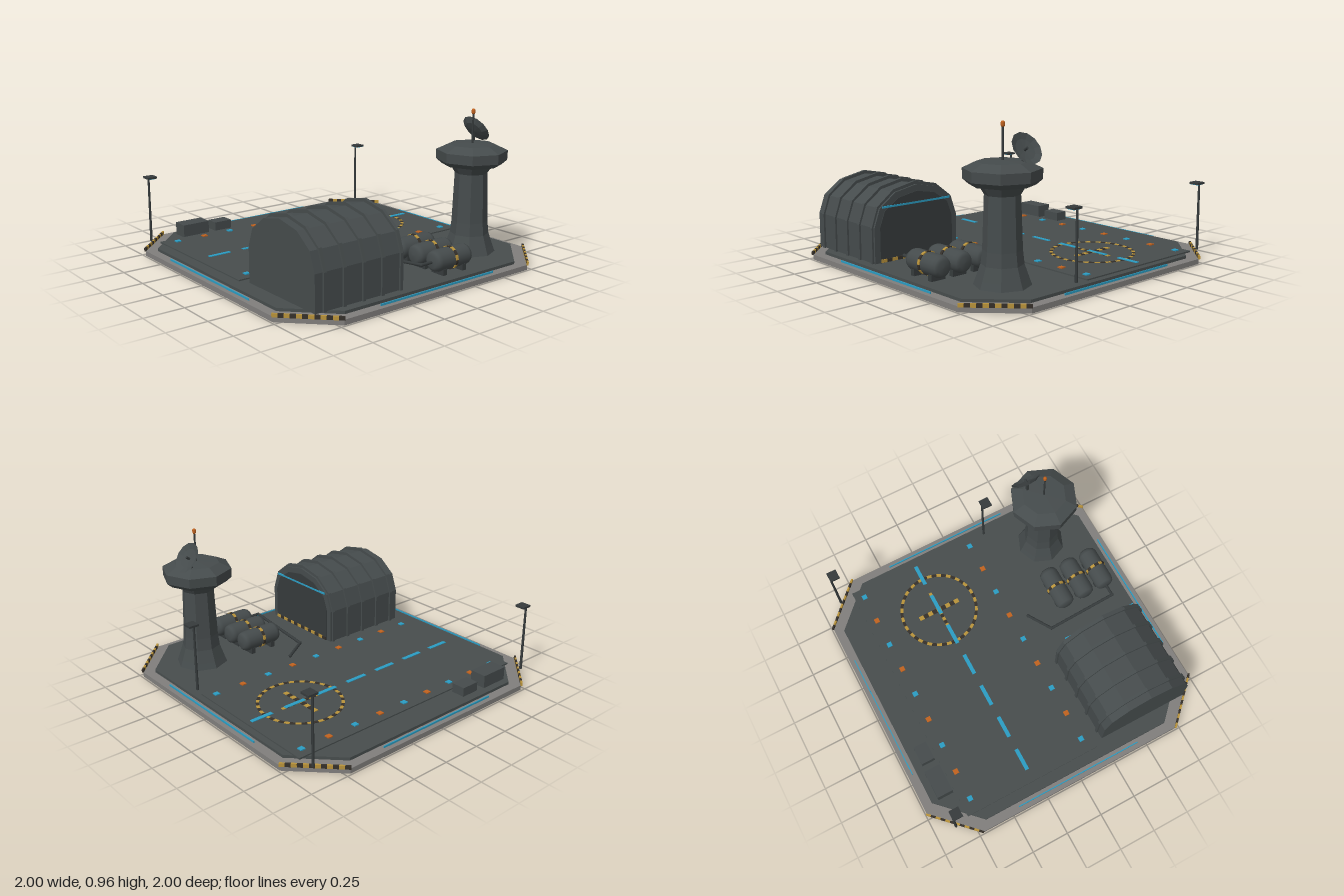
import * as THREE from 'three';

const mat = (name, color) => Object.assign(new THREE.MeshStandardMaterial({ color }), { name });
const M = {
  concrete: mat('concrete grey', 0x807e7c),
  deck: mat('deck slate', 0x474d4d),
  building: mat('building slate', 0x454b4c),
  trim: mat('dark trim', 0x363b3c),
  blue: mat('signal blue', 0x2b9cc2),
  orange: mat('lamp orange', 0xc0621f),
  yellow: mat('hazard yellow', 0xb8923a),
  black: mat('hazard black', 0x35302a),
};

const flat = (g) => {
  const f = g.index ? g.toNonIndexed() : g;
  f.computeVertexNormals();
  return f;
};
const add = (parent, name, geo, material, x = 0, y = 0, z = 0) => {
  const m = new THREE.Mesh(geo, material);
  m.name = name;
  m.position.set(x, y, z);
  parent.add(m);
  return m;
};
const box = (parent, name, material, w, h, d, x, y, z) =>
  add(parent, name, new THREE.BoxGeometry(w, h, d), material, x, y, z);
const group = (parent, name, x = 0, y = 0, z = 0) => {
  const g = new THREE.Group();
  g.name = name;
  g.position.set(x, y, z);
  parent.add(g);
  return g;
};
const lathe = (pts, sides) => new THREE.LatheGeometry(pts.map((p) => new THREE.Vector2(...p)), sides);
const extrude = (shape, depth) =>
  new THREE.ExtrudeGeometry(shape, { depth, bevelEnabled: false, curveSegments: 3 });
const polygon = (pts) => new THREE.Shape(pts.map((p) => new THREE.Vector2(...p)));

// Square slab with cut corners, lying flat
function slab(r, c, h) {
  const pts = [[c, -r], [r, -c], [r, c], [c, r], [-c, r], [-r, c], [-r, -c], [-c, -r]];
  return extrude(polygon(pts), h).rotateX(-Math.PI / 2);
}

// Bar of alternating yellow and black blocks along x
function hazardBar(parent, name, length, h, d, n, x, y, z) {
  const g = group(parent, name, x, y, z);
  const s = length / n;
  for (let i = 0; i < n; i++)
    box(g, 'hazardBlock', i % 2 ? M.black : M.yellow, s, h, d, -length / 2 + s * (i + 0.5), 0, 0);
  return g;
}

// Ring of alternating yellow and black segments in the xy plane
function hazardRing(parent, name, r0, r1, depth, n) {
  const g = group(parent, name);
  const step = (Math.PI * 2) / n;
  for (let i = 0; i < n; i++) {
    const shape = new THREE.Shape();
    shape.absarc(0, 0, r1, i * step, (i + 1) * step, false);
    shape.absarc(0, 0, r0, (i + 1) * step, i * step, true);
    add(g, 'hazardSegment', extrude(shape, depth), i % 2 ? M.black : M.yellow);
  }
  return g;
}

function buildPlatform(root) {
  const g = group(root, 'platform');
  add(g, 'foundation', slab(0.99, 0.72, 0.032), M.concrete);
  add(g, 'deck', slab(0.93, 0.67, 0.02), M.deck, 0, 0.03, 0);
  // Light strips and corner hazard bars, one per side
  for (let i = 0; i < 4; i++) {
    const side = group(g, 'edge');
    side.rotation.y = (i * Math.PI) / 2;
    box(side, 'edgeLight', M.blue, 0.89, 0.012, 0.006, 0, 0.038, 0.958);
    hazardBar(side, 'cornerHazardBar', 0.39, 0.022, 0.012, 12, 0.857, 0.041, 0.857).rotation.y = Math.PI / 4;
  }
}

function buildRunway(root) {
  const g = group(root, 'runway');
  box(g, 'runwaySurface', M.deck, 1.75, 0.01, 0.955, 0.015, 0.053, -0.2875);
  for (let i = 0; i < 7; i++)
    box(g, 'centreDash', M.blue, 0.152, 0.004, 0.026, -0.7 + i * 0.2475, 0.063, -0.285);
  for (const z of [-0.7, 0.125])
    for (let i = 0; i < 9; i++)
      box(g, 'runwayLight', i % 2 ? M.orange : M.blue, 0.033, 0.008, 0.033, -0.765 + i * 0.1985, 0.061, z);
  // Landing pad marking
  const pad = group(g, 'landingPad', 0.495, 0.058, -0.285);
  hazardRing(pad, 'padRing', 0.248, 0.268, 0.003, 48).rotation.x = -Math.PI / 2;
  hazardBar(pad, 'padCrossX', 0.28, 0.004, 0.022, 11, 0, 0.002, 0);
  hazardBar(pad, 'padCrossZ', 0.3, 0.005, 0.03, 9, 0, 0.002, 0).rotation.y = Math.PI / 2;
}

// Arched outline: upright walls with a six-sided roof
function archShape(rx, ry, base) {
  const pts = [[rx, 0], [-rx, 0]];
  for (let i = 6; i >= 0; i--) {
    const a = (i * Math.PI) / 6;
    pts.push([rx * Math.cos(a), base + ry * Math.sin(a)]);
  }
  return polygon(pts);
}

function buildHangar(root) {
  const g = group(root, 'hangar', 0, 0.05, 0.56);
  const arch = (name, m, rx, ry, x, w) =>
    add(g, name, extrude(archShape(rx, ry, 0.22), w).rotateY(Math.PI / 2), m, x, 0, 0);
  arch('hangarShell', M.building, 0.312, 0.23, -0.825, 0.622);
  for (let i = 0; i < 5; i++) arch('hangarRib', M.building, 0.324, 0.25, -0.775 + i * 0.135, 0.02);
  // Door on the right end
  arch('hangarDoor', M.trim, 0.275, 0.19, -0.204, 0.006);
  box(g, 'doorLight', M.blue, 0.008, 0.012, 0.51, -0.199, 0.34, 0);
  hazardBar(g, 'doorSill', 0.54, 0.02, 0.008, 14, -0.197, 0.012, 0).rotation.y = Math.PI / 2;
}

function buildTower(root) {
  const g = group(root, 'controlTower', 0.62, 0, 0.59);
  add(g, 'towerShaft', flat(lathe(
    [[0.165, 0.05], [0.15, 0.09], [0.122, 0.17], [0.113, 0.25], [0.102, 0.56], [0.14, 0.62]], 8)), M.building);
  add(g, 'towerCabin', flat(lathe(
    [[0, 0.615], [0.185, 0.615], [0.22, 0.645], [0.222, 0.705], [0.145, 0.742], [0, 0.748]], 8)), M.building);
  add(g, 'mast', new THREE.CylinderGeometry(0.006, 0.006, 0.2, 8), M.trim, 0.003, 0.84, 0);
  add(g, 'beacon', new THREE.CapsuleGeometry(0.012, 0.012, 4, 8), M.orange, 0.003, 0.945, 0);
  // Dish, tilted up and outward
  const dish = group(g, 'dish', 0.113, 0.817, -0.075);
  dish.rotation.z = -0.96;
  add(dish, 'dishBowl', flat(lathe(
    [[0, -0.03], [0.065, -0.022], [0.1, 0], [0.065, -0.014], [0, -0.022]], 12)), M.building);
  add(dish, 'dishFeed', new THREE.CylinderGeometry(0.008, 0.008, 0.03, 8), M.trim, 0, -0.01, 0);
  box(g, 'dishBracket', M.trim, 0.016, 0.08, 0.016, 0.088, 0.765, -0.075);
}

function buildTanks(root) {
  const g = group(root, 'fuelStore');
  const profile = [[0, -0.147], [0.04, -0.145], [0.058, -0.133], [0.066, -0.11]];
  const mirrored = profile.map(([r, y]) => [r, -y]).reverse();
  for (const z of [0.495, 0.65, 0.805]) {
    const t = group(g, 'fuelTank', 0.226, 0.134, z);
    add(t, 'tankBody', lathe([...profile, ...mirrored], 16).rotateZ(-Math.PI / 2), M.building);
    const band = hazardRing(t, 'tankBand', 0.062, 0.071, 0.018, 14);
    band.rotation.y = Math.PI / 2;
    band.position.x = -0.009;
    for (const x of [-0.08, 0.08]) box(t, 'tankSaddle', M.trim, 0.03, 0.04, 0.1, x, -0.065, 0);
  }
  // Feed pipe, built as straight runs with round joints
  const path = [[0.09, 0.132, 0.805], [0, 0.132, 0.805], [0, 0.075, 0.33], [0.16, 0.065, 0.235]]
    .map((p) => new THREE.Vector3(...p));
  path.slice(1).forEach((p, i) => {
    add(g, 'pipeRun', new THREE.TubeGeometry(new THREE.LineCurve3(path[i], p), 1, 0.01, 8), M.trim);
    add(g, 'pipeJoint', new THREE.SphereGeometry(0.0115, 8, 6), M.trim, p.x, p.y, p.z);
  });
}

function buildLampPost(root, x, z) {
  const g = group(root, 'lampPost', x, 0, z);
  add(g, 'lampPole', new THREE.CylinderGeometry(0.007, 0.009, 0.43, 8), M.trim, 0, 0.262, 0);
  box(g, 'lampHead', M.trim, 0.066, 0.013, 0.066, 0, 0.482, 0.025);
  box(g, 'lampGlow', M.blue, 0.054, 0.004, 0.054, 0, 0.4745, 0.027);
}

export function createModel() {
  const root = new THREE.Group();
  root.name = 'airBase';
  buildPlatform(root);
  buildRunway(root);
  buildHangar(root);
  buildTower(root);
  buildTanks(root);
  for (const [x, z] of [[-0.877, -0.86], [0.873, -0.86], [0.871, 0.262]]) buildLampPost(root, x, z);
  // Storage crates along the back edge
  box(root, 'largeCrate', M.building, 0.19, 0.085, 0.108, -0.582, 0.091, -0.83);
  box(root, 'smallCrate', M.building, 0.125, 0.06, 0.09, -0.368, 0.079, -0.83);
  return root;
}
